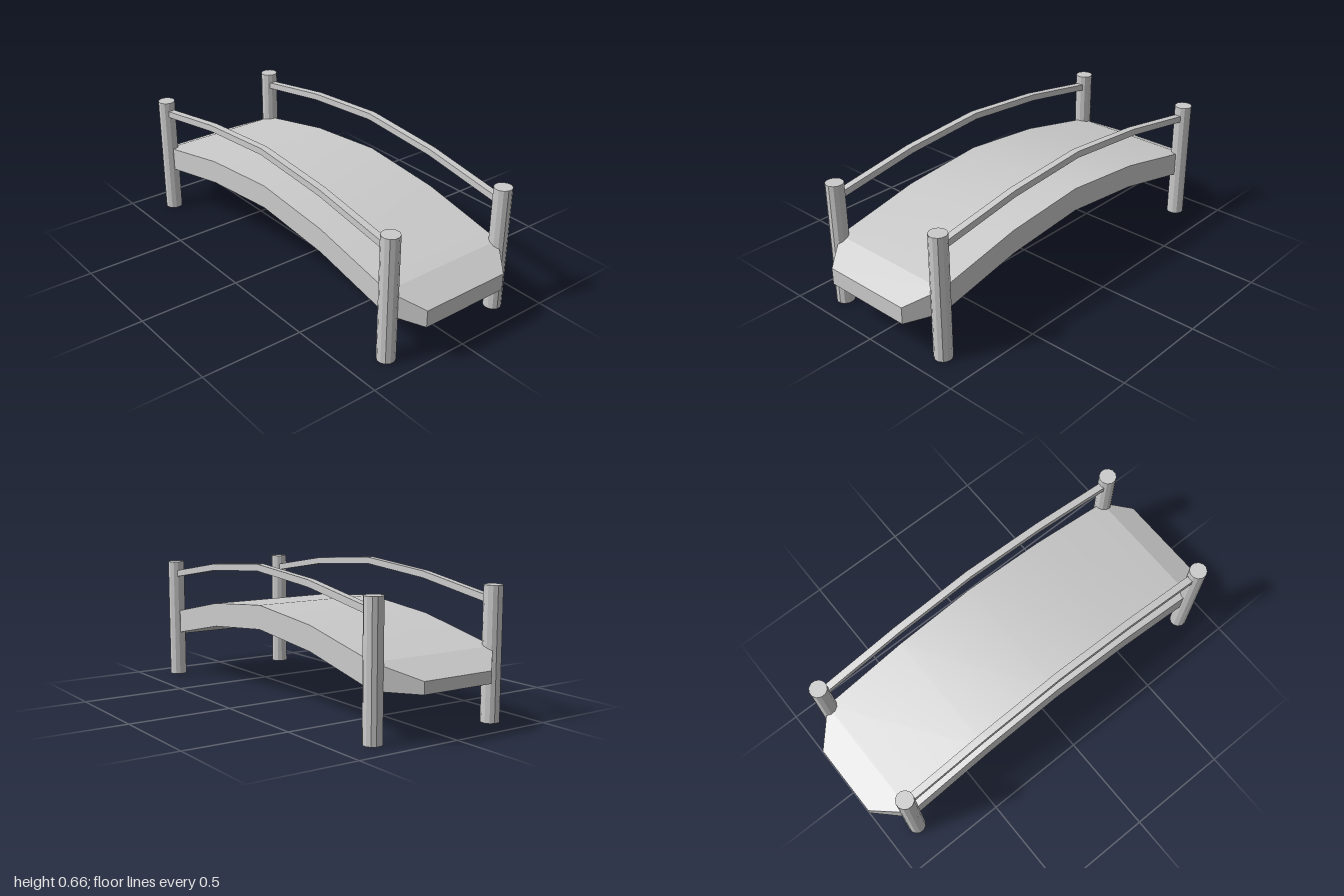
import * as THREE from 'three';
import { toCreasedNormals } from 'three/addons/utils/BufferGeometryUtils.js';

const material = new THREE.MeshStandardMaterial({ color: 0xcccccc });
const flatMaterial = new THREE.MeshStandardMaterial({ color: 0xcccccc, flatShading: true });

// Joins rectangular sections [z, halfWidth, bottom, top], listed front to back
function loft(sections) {
  const points = [];
  const index = [];
  for (const [z, w, bottom, top] of sections) {
    points.push(-w, bottom, z, w, bottom, z, w, top, z, -w, top, z);
  }
  for (let i = 0; i < sections.length - 1; i++) {
    for (let j = 0; j < 4; j++) {
      const a = i * 4 + j;
      const b = i * 4 + ((j + 1) % 4);
      index.push(a, a + 4, b, b, a + 4, b + 4);
    }
  }
  const e = (sections.length - 1) * 4;
  index.push(0, 1, 2, 0, 2, 3, e, e + 2, e + 1, e, e + 3, e + 2);
  const geometry = new THREE.BufferGeometry();
  geometry.setAttribute('position', new THREE.Float32BufferAttribute(points, 3));
  geometry.setIndex(index);
  return toCreasedNormals(geometry, 0.22);
}

function addMesh(parent, name, geometry, mat, x = 0, y = 0, z = 0) {
  const mesh = new THREE.Mesh(geometry, mat);
  mesh.name = name;
  mesh.position.set(x, y, z);
  parent.add(mesh);
}

export function createModel() {
  const model = new THREE.Group();
  model.name = 'footbridge';

  // Arched deck with a tapered ramp at each end
  addMesh(model, 'deck', loft([
    [1, 0.225, 0.187, 0.268],
    [0.865, 0.328, 0.22, 0.337],
    [0.43, 0.328, 0.312, 0.428],
    [0.01, 0.328, 0.352, 0.467],
    [-0.41, 0.328, 0.312, 0.428],
    [-0.855, 0.328, 0.22, 0.337],
    [-1, 0.182, 0.213, 0.268],
  ]), material);

  // Handrails follow the arch and end inside the posts
  const rail = loft([
    [0.865, 0.017, 0.522, 0.554],
    [0.43, 0.017, 0.594, 0.626],
    [0.01, 0.017, 0.627, 0.659],
    [-0.41, 0.017, 0.594, 0.626],
    [-0.855, 0.017, 0.522, 0.554],
  ]);

  // Corner posts
  const postHeight = 0.605;
  const post = new THREE.CylinderGeometry(0.0425, 0.0425, postHeight, 12, 1, false, Math.PI / 12);

  for (const [side, s] of [['left', 1], ['right', -1]]) {
    addMesh(model, `${side}Handrail`, rail, material, s * 0.321);
    addMesh(model, `${side}FrontPost`, post, flatMaterial, s * 0.324, postHeight / 2, 0.87);
    addMesh(model, `${side}BackPost`, post, flatMaterial, s * 0.324, postHeight / 2, -0.853);
  }
  return model;
}
